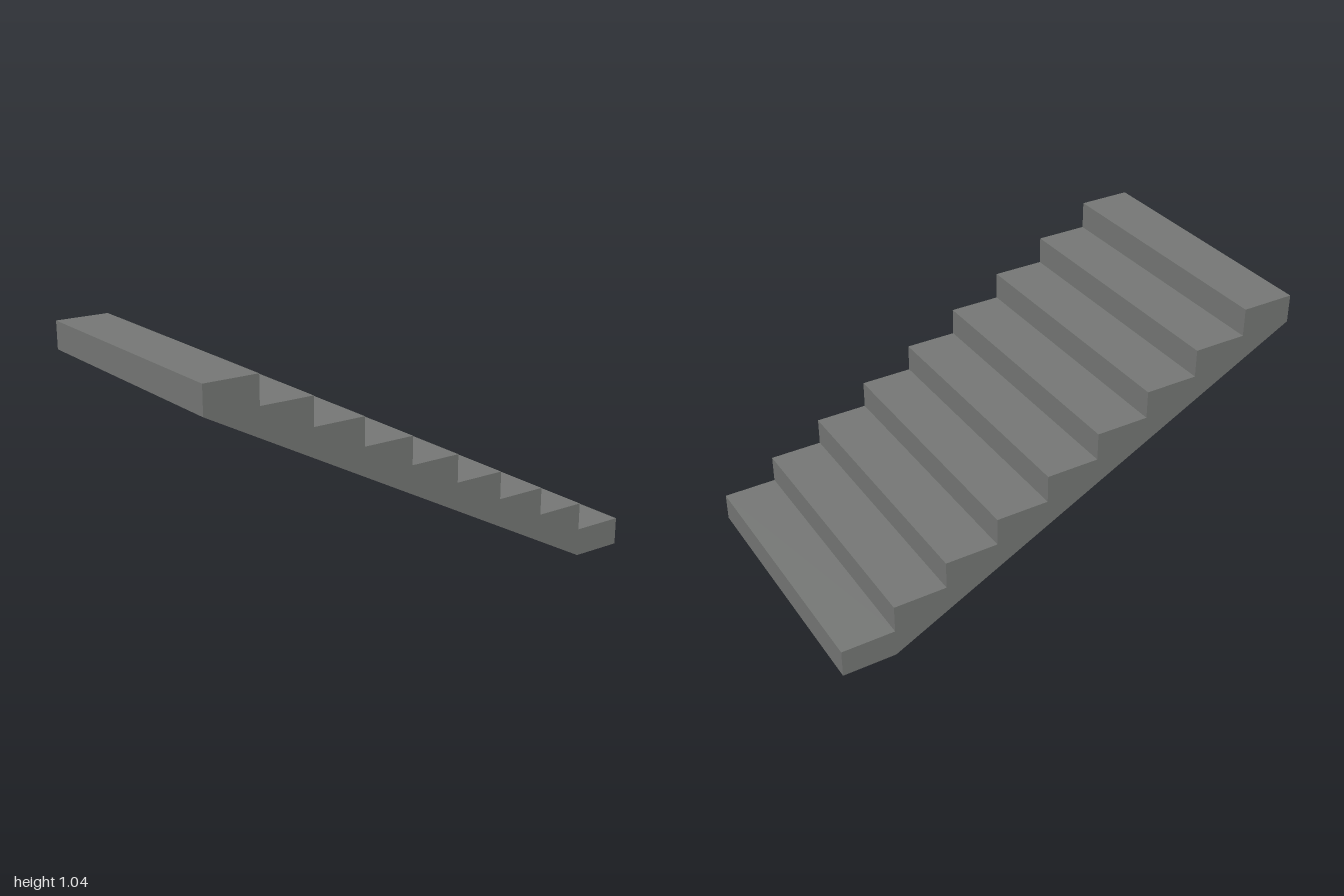
import * as THREE from 'three';

const STEPS = 9;
const LENGTH = 2;
const HEIGHT = 1.04;
const WIDTH = 1.12;

export function createModel() {
  const group = new THREE.Group();
  group.name = 'staircase';

  const concrete = new THREE.MeshStandardMaterial({ color: 0x747674 });
  concrete.name = 'concrete grey';

  const run = LENGTH / STEPS;
  const rise = HEIGHT / STEPS;

  // Side profile: bottom step, then each riser and tread up to the top
  const profile = new THREE.Shape();
  profile.moveTo(LENGTH / 2 - run, 0);
  profile.lineTo(LENGTH / 2, 0);
  for (let i = 0; i < STEPS; i++) {
    const y = (i + 1) * rise;
    profile.lineTo(LENGTH / 2 - i * run, y);
    profile.lineTo(LENGTH / 2 - (i + 1) * run, y);
  }
  // Back of the top step; closing the shape makes the sloped underside
  profile.lineTo(-LENGTH / 2, HEIGHT - rise);
  profile.closePath();

  const geometry = new THREE.ExtrudeGeometry(profile, { depth: WIDTH, bevelEnabled: false });
  geometry.translate(0, 0, -WIDTH / 2);

  const flight = new THREE.Mesh(geometry, concrete);
  flight.name = 'stairFlight';
  group.add(flight);

  return group;
}
